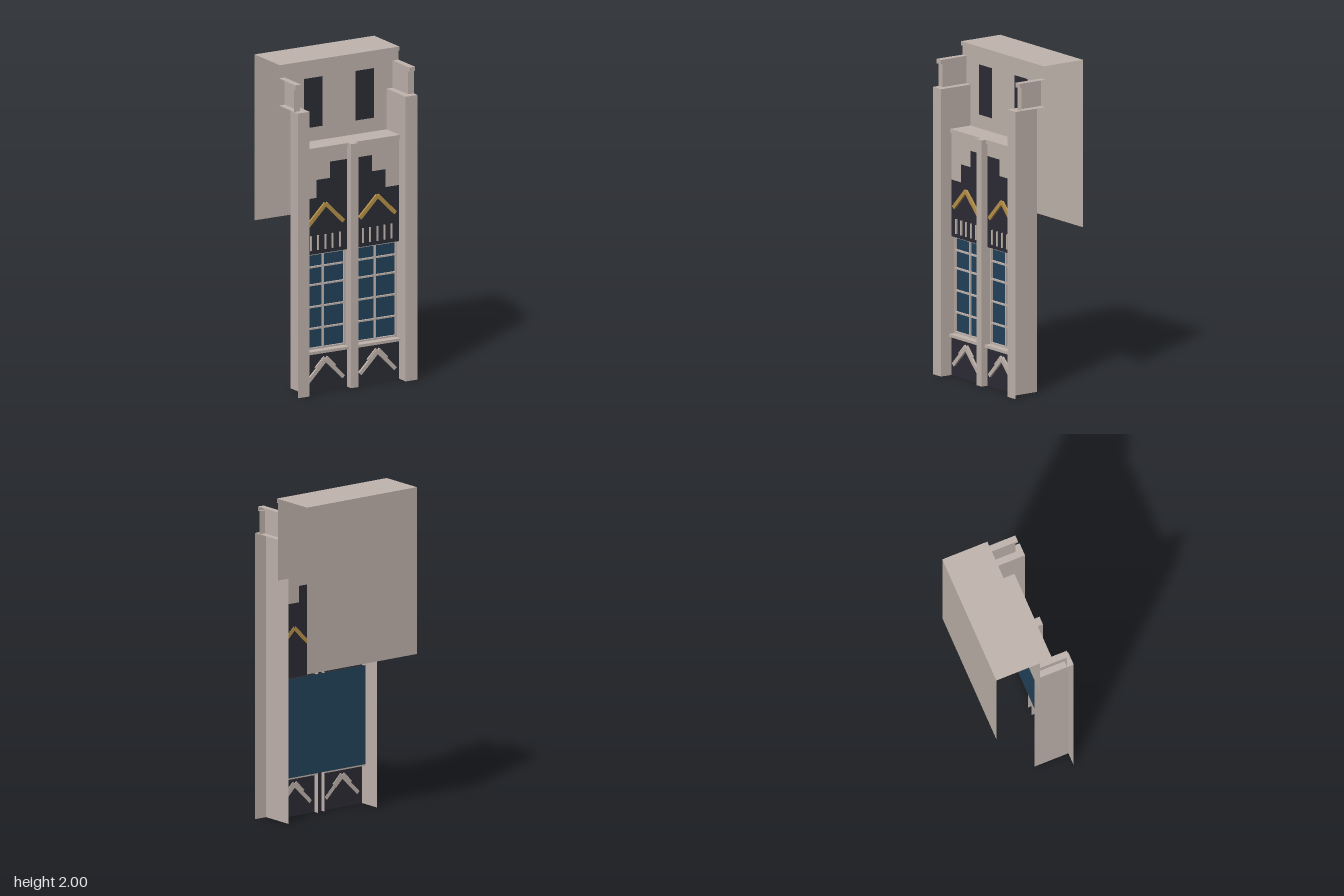
import * as THREE from 'three';

export function createModel() {
  const model = new THREE.Group();
  const mat = (name, color) => {
    const m = new THREE.MeshStandardMaterial({ color, side: THREE.DoubleSide });
    m.name = name;
    return m;
  };
  const stone = mat('stone', 0xc1b4ad);
  const dark = mat('dark panel', 0x2c2b35);
  const glass = mat('blue glass', 0x22435c);
  const gold = mat('gold', 0xb8924a);

  const add = (name, geo, m, parent = model) => {
    const mesh = new THREE.Mesh(geo, m);
    mesh.name = name;
    parent.add(mesh);
    return mesh;
  };
  // Open faces: facing z, facing x, facing y
  const front = (name, x0, x1, y0, y1, z, m = stone) =>
    add(name, new THREE.PlaneGeometry(Math.abs(x1 - x0), y1 - y0)
      .translate((x0 + x1) / 2, (y0 + y1) / 2, z), m);
  const side = (name, x, y0, y1, z0, z1, m = stone) =>
    add(name, new THREE.PlaneGeometry(z1 - z0, y1 - y0).rotateY(x < 0 ? Math.PI / 2 : -Math.PI / 2)
      .translate(x, (y0 + y1) / 2, (z0 + z1) / 2), m);
  const level = (name, x0, x1, y, z0, z1, m = stone) =>
    add(name, new THREE.PlaneGeometry(Math.abs(x1 - x0), z1 - z0).rotateX(-Math.PI / 2)
      .translate((x0 + x1) / 2, y, (z0 + z1) / 2), m);
  const box = (name, x0, x1, y0, y1, z0, z1, m = stone) =>
    add(name, new THREE.BoxGeometry(Math.abs(x1 - x0), y1 - y0, z1 - z0)
      .translate((x0 + x1) / 2, (y0 + y1) / 2, (z0 + z1) / 2), m);

  // Upper block, open at the sides and below
  front('upperWall', -0.415, 0.415, 1.5, 2, 0.03);
  front('backWall', -0.415, 0.415, 0.98, 2, -0.25);
  level('roof', -0.415, 0.415, 2, -0.25, 0.04);
  front('roofCornice', -0.415, 0.415, 1.975, 2, 0.04);
  level('roofCorniceUnderside', -0.415, 0.415, 1.975, 0.03, 0.04);

  // Lower facade: stepped dark panel with stone spandrels above it
  const wallZ = 0.17, recessZ = 0.137;
  const steps = [[0.333, 1.19], [0.24, 1.19], [0.24, 1.3], [0.145, 1.3], [0.145, 1.4]];
  const outline = [...steps, ...steps.map(([x, y]) => [-x, y]).reverse()];
  const polygon = (name, pts, m) => add(name, new THREE.ShapeGeometry(
    new THREE.Shape(pts.map(p => new THREE.Vector2(...p)))).translate(0, 0, wallZ), m);
  polygon('steppedPanel', [...outline, [-0.333, 0.845], [0.333, 0.845]], dark);
  polygon('spandrel', [...outline, [-0.333, 1.5], [0.333, 1.5]], stone);
  front('basePanel', -0.333, 0.333, 0, 0.24, wallZ, dark);
  level('windowHead', -0.333, 0.333, 0.845, recessZ, wallZ, dark);
  front('glazing', -0.335, 0.335, 0.245, 0.85, recessZ, glass);

  // Ledge over the bays
  level('ledge', -0.333, 0.333, 1.5, 0.03, 0.18);
  front('ledgeFace', -0.333, 0.333, 1.475, 1.5, 0.18);
  level('ledgeUnderside', -0.333, 0.333, 1.475, wallZ, 0.18);

  // Central post, open at the back
  front('postFront', -0.026, 0.026, 0, 1.5, 0.213);
  level('postTop', -0.026, 0.026, 1.5, wallZ, 0.213);
  for (const s of [-1, 1]) side('postSide', s * 0.026, 0, 1.5, 0.14, 0.213);

  // Chevron of two bars meeting at an apex
  const chevron = (name, cx, apexY, reach, thick, z, m) => {
    const g = new THREE.Group();
    g.name = name;
    g.position.set(cx, apexY, z);
    const length = reach * Math.SQRT2;
    for (const s of [-1, 1]) {
      const bar = add('chevronBar', new THREE.BoxGeometry(length, thick, 0.015), m, g);
      bar.position.set(s * reach / 2, -reach / 2 - thick * 0.35, 0);
      bar.rotation.z = -s * Math.PI / 4;
    }
    model.add(g);
  };

  for (const s of [-1, 1]) {
    // Pilasters, open at the outer side and back
    front('pilasterFront', s * 0.333, s * 0.415, 0, 1.75, 0.248);
    side('pilasterInnerSide', s * 0.333, 0, 1.75, 0.03, 0.248);
    level('pilasterTop', s * 0.333, s * 0.415, 1.75, 0.03, 0.248);

    // Capped pier above each pilaster
    front('pierFront', s * 0.375, s * 0.415, 1.75, 1.89, 0.205);
    side('pierInnerSide', s * 0.375, 1.75, 1.89, 0.03, 0.205);
    side('pierCapSide', s * 0.375, 1.89, 1.917, 0.03, 0.22);
    front('pierCapFront', s * 0.375, s * 0.415, 1.89, 1.917, 0.22);
    level('pierCapTop', s * 0.375, s * 0.415, 1.917, 0.03, 0.22);
    level('pierCapUnderside', s * 0.375, s * 0.415, 1.89, 0.205, 0.22);

    // Upper window
    front('upperWindow', s * 0.115, s * 0.243, 1.585, 1.89, 0.034, dark);

    // Window frame and glazing bars
    const z0 = recessZ + 0.001, z1 = 0.15;
    for (const x of [0.032, 0.18, 0.327])
      box('mullion', s * (x - 0.005), s * (x + 0.005), 0.25, 0.845, z0, z1);
    for (const y of [0.26, 0.382, 0.515, 0.65, 0.76, 0.84])
      box('glazingBar', s * 0.027, s * 0.332, y - 0.005, y + 0.005, z0, z1);
    box('sill', s * 0.026, s * 0.333, 0.235, 0.252, 0.14, 0.19);

    // Balusters
    for (let i = 0; i < 5; i++) {
      const x = 0.08 + i * 0.05;
      box('baluster', s * (x - 0.004), s * (x + 0.004), 0.87, 0.96, wallZ, wallZ + 0.01);
    }

    // Chevron ornaments
    chevron('goldChevron', s * 0.18, 1.157, 0.123, 0.024, wallZ + 0.006, gold);
    chevron('baseChevron', s * 0.18, 0.2, 0.123, 0.024, wallZ + 0.006, stone);
    chevron('baseChevronCrown', s * 0.18, 0.21, 0.06, 0.035, wallZ + 0.003, stone);
  }
  return model;
}
